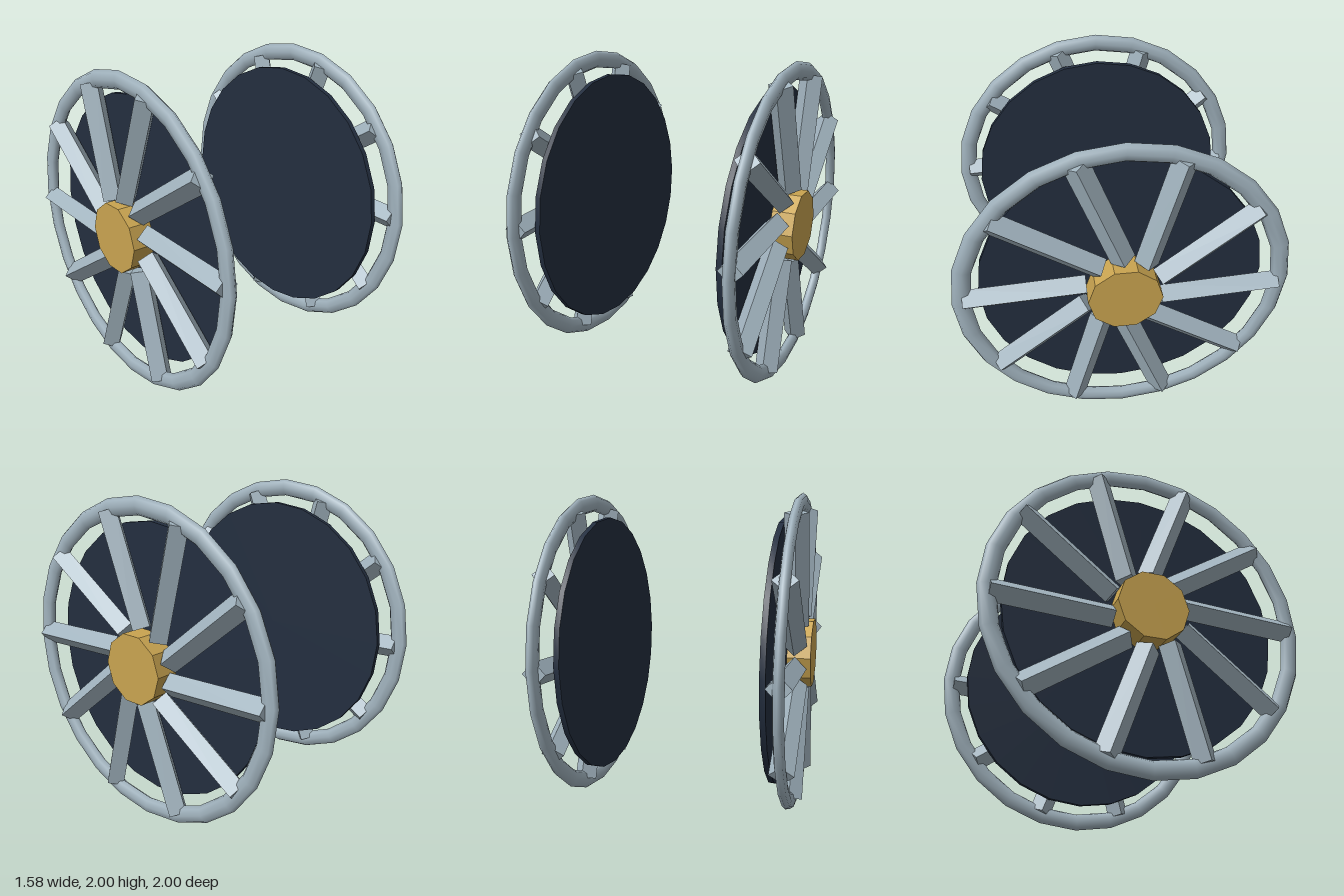
import * as THREE from 'three';
import { toCreasedNormals } from 'three/addons/utils/BufferGeometryUtils.js';

const steel = new THREE.MeshStandardMaterial({ color: 0xa1b3be });
steel.name = 'steel';
const brass = new THREE.MeshStandardMaterial({ color: 0xc9a450 });
brass.name = 'brass';
const navy = new THREE.MeshStandardMaterial({ color: 0x232e3f });
navy.name = 'navy';

const SPOKES = 10;
const WHEEL_X = 0.695;

function part(name, geometry, material, x = 0, y = 0, z = 0) {
  const mesh = new THREE.Mesh(geometry, material);
  mesh.name = name;
  mesh.position.set(x, y, z);
  return mesh;
}

// Drum lying along the x axis
function drum(radius, width, sides) {
  return toCreasedNormals(new THREE.CylinderGeometry(radius, radius, width, sides).rotateZ(Math.PI / 2), 0.5);
}

// One wheel; side is +1 for the left and -1 for the right
function createWheel(side) {
  const wheel = new THREE.Group();
  wheel.name = side > 0 ? 'leftWheel' : 'rightWheel';

  // Rim, flattened across its width
  const rim = new THREE.TorusGeometry(0.945, 0.055, 8, 24).rotateY(Math.PI / 2).scale(0.58, 1, 1);
  wheel.add(part('rim', rim, steel));

  // Hub outside, backing disc inside
  wheel.add(part('hub', drum(0.22, 0.145, 10), brass, side * 0.0225));
  wheel.add(part('backingDisc', drum(0.85, 0.034, 24), navy, side * -0.099));

  // Diamond-section spokes, each tilted slightly off the radius
  const bar = toCreasedNormals(new THREE.CylinderGeometry(0.0735, 0.0735, 0.71, 4), 0.5);
  for (let i = 0; i < SPOKES; i++) {
    const turn = (i / SPOKES) * Math.PI * 2;
    const at = turn + THREE.MathUtils.degToRad(-4.6);
    const along = turn + THREE.MathUtils.degToRad(3);
    const spoke = part('spoke', bar, steel, 0, 0.578 * Math.sin(at), -0.578 * Math.cos(at));
    spoke.rotation.x = along - Math.PI / 2;
    wheel.add(spoke);
  }

  wheel.position.set(side * WHEEL_X, 1, 0);
  return wheel;
}

export function createModel() {
  const model = new THREE.Group();
  model.name = 'wheelPair';
  for (const side of [1, -1]) model.add(createWheel(side));
  return model;
}
